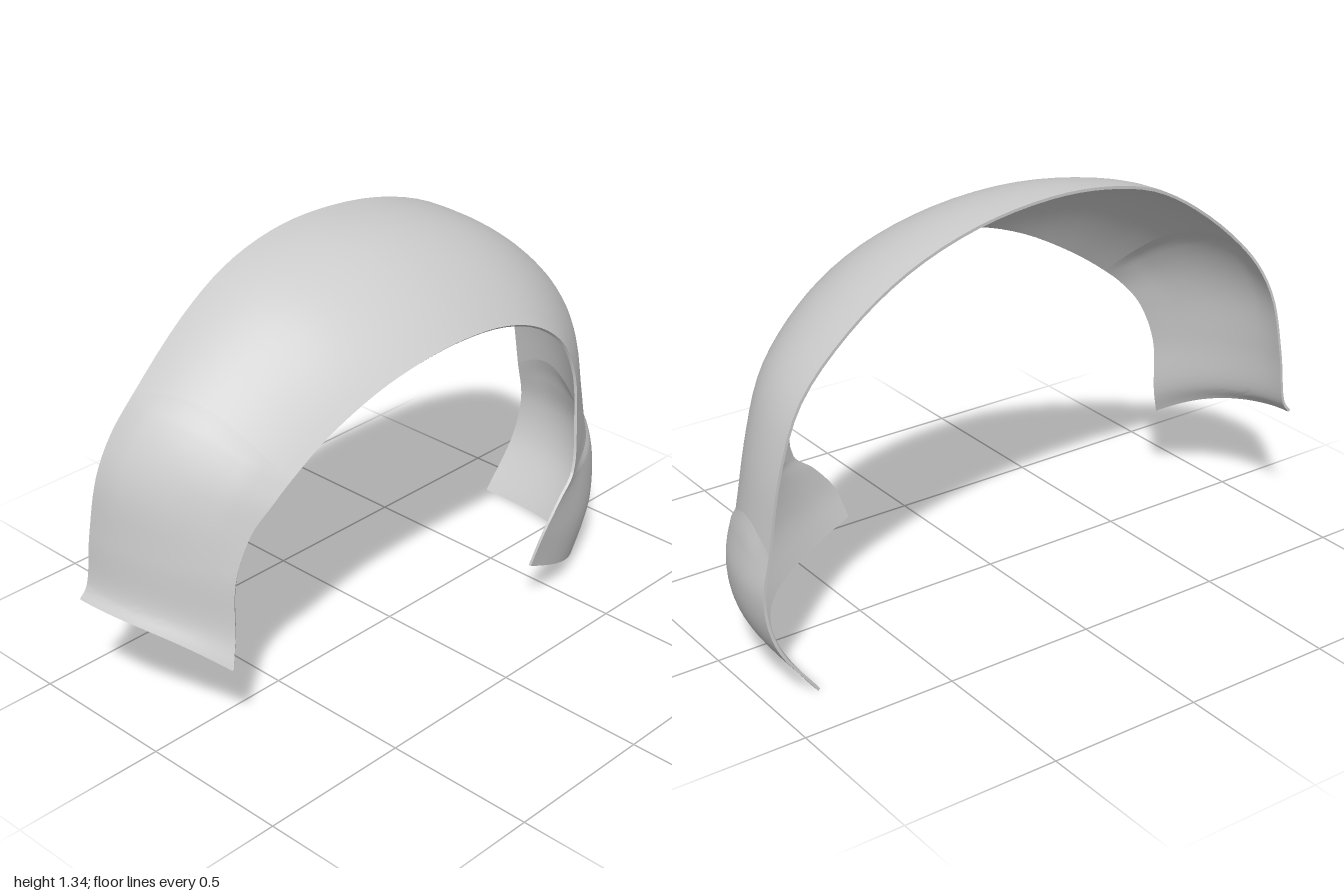
import * as THREE from 'three';
import { toCreasedNormals } from 'three/addons/utils/BufferGeometryUtils.js';

// Stations from the front end, over the arch, to the rear end:
// wide edge (x, y, z) and narrow edge (x, y, z)
const STATIONS = [
  [-0.31, 0.395, 1.0, 0.157, 0.27, 0.82],
  [-0.307, 0.43, 0.975, 0.142, 0.36, 0.795],
  [-0.3, 0.6, 0.955, 0.138, 0.55, 0.78],
  [-0.285, 0.79, 0.925, 0.155, 0.69, 0.73],
  [-0.275, 0.91, 0.87, 0.18, 0.77, 0.67],
  [-0.265, 1.015, 0.785, 0.19, 0.83, 0.6],
  [-0.28, 1.18, 0.58, 0.205, 0.92, 0.47],
  [-0.29, 1.28, 0.4, 0.235, 1.01, 0.3],
  [-0.3, 1.33, 0.2, 0.26, 1.06, 0.14],
  [-0.3, 1.34, 0, 0.275, 1.08, -0.03],
  [-0.3, 1.305, -0.26, 0.277, 1.06, -0.22],
  [-0.3, 1.22, -0.5, 0.28, 1.0, -0.38],
  [-0.3, 1.09, -0.7, 0.28, 0.9, -0.5],
  [-0.3, 0.92, -0.86, 0.282, 0.77, -0.56],
  [-0.3, 0.72, -0.935, 0.288, 0.6, -0.57],
  [-0.295, 0.48, -0.975, 0.3, 0.43, -0.55],
  [-0.295, 0.33, -1.0, 0.312, 0.36, -0.47],
  [-0.305, 0.18, -0.97, 0.313, 0.27, -0.395],
  [-0.315, 0, -0.845, 0.295, 0.16, -0.355],
];
const LAST = STATIONS.length - 1;
const THICKNESS = 0.009, ACROSS = 24;
const { lerp, clamp, smoothstep } = THREE.MathUtils;

const edge = (k) => new THREE.CatmullRomCurve3(
  STATIONS.map((s) => new THREE.Vector3(s[k], s[k + 1], s[k + 2])));
const wideEdge = edge(0), narrowEdge = edge(3);

// Seams between the panels, bowed across the width
const frontSeam = (t) => 5 + 0.25 * Math.sin(Math.PI * t);
const rearSeam = (t) => 15 - 0.25 * Math.sin(2 * Math.PI * t);

// Domed skin: v runs along the arch, t runs across it
function skin(v, t) {
  const a = wideEdge.getPoint(clamp(v / LAST, 0, 1));
  const b = narrowEdge.getPoint(clamp(v / LAST, 0, 1));
  const round = smoothstep(v, 14, 18.5);
  const s = lerp(t, Math.sin(t * Math.PI / 2), round);
  const d = Math.pow(t, 1.9 + 0.7 * smoothstep(v, 2, 13));
  // The front lip arches up slightly, the rear hem sags slightly
  const bow = 0.012 * (1 - smoothstep(v, 0, 2)) - 0.018 * smoothstep(v, 16, LAST);
  return new THREE.Vector3(
    lerp(a.x, b.x, s),
    lerp(a.y, b.y, d) + bow * Math.sin(Math.PI * d),
    lerp(a.z, b.z, d));
}

function skinNormal(v, t) {
  const e = 0.02;
  const v0 = Math.max(v - e, 0), v1 = Math.min(v + e, LAST);
  const t0 = Math.max(t - e, 0), t1 = Math.min(t + e, 1);
  const du = skin(v, t1).sub(skin(v, t0));
  const dv = skin(v1, t).sub(skin(v0, t));
  return du.cross(dv).normalize();
}

// Thin closed panel between two seams; swell(v, t) lifts it off the skin
function panel(name, from, to, rows, swell, material) {
  const pos = [], index = [];
  const n = ACROSS + 1, ring = 2 * n;
  for (let i = 0; i <= rows; i++) {
    for (let k = 0; k < ring; k++) {
      const inner = k >= n;
      const t = (inner ? ring - 1 - k : k) / ACROSS;
      const v = lerp(from(t), to(t), i / rows);
      const lift = swell(v, t) - (inner ? THICKNESS : 0);
      const p = skin(v, t).addScaledVector(skinNormal(v, t), lift);
      pos.push(p.x, Math.max(p.y, 0), p.z);
    }
  }
  const quad = (a, b, c, d) => index.push(a, b, c, a, c, d);
  for (let i = 0; i < rows; i++) {
    for (let k = 0; k < ring; k++) {
      const k2 = (k + 1) % ring, r = i * ring;
      quad(r + k, r + k2, r + ring + k2, r + ring + k);
    }
  }
  // End rims
  const end = rows * ring;
  for (let k = 0; k < ACROSS; k++) {
    const m = ring - 1 - k;
    quad(k, m, m - 1, k + 1);
    quad(end + k, end + k + 1, end + m - 1, end + m);
  }
  const geo = new THREE.BufferGeometry();
  geo.setAttribute('position', new THREE.Float32BufferAttribute(pos, 3));
  geo.setIndex(index);
  const mesh = new THREE.Mesh(toCreasedNormals(geo, 0.9), material);
  mesh.name = name;
  return mesh;
}

export function createModel() {
  const group = new THREE.Group();
  group.name = 'archLiner';
  const material = new THREE.MeshStandardMaterial({ color: 0xcccccc, side: THREE.DoubleSide });
  // Slight bulge past a seam, fading out along the panel and at its side edges
  const bulge = (w, length, t) => 0.009 * Math.min(1, w / 0.25)
    * Math.max(0, 1 - w / length) * Math.min(1, 6 * t, 6 * (1 - t));

  group.add(
    panel('frontPanel', () => 0, frontSeam, 32,
      (v, t) => bulge(frontSeam(t) - v, 4, t), material),
    panel('archPanel', frontSeam, rearSeam, 40, () => 0, material),
    panel('rearPanel', rearSeam, () => LAST, 24,
      (v, t) => bulge(v - rearSeam(t), 2.5, t), material),
  );
  return group;
}
